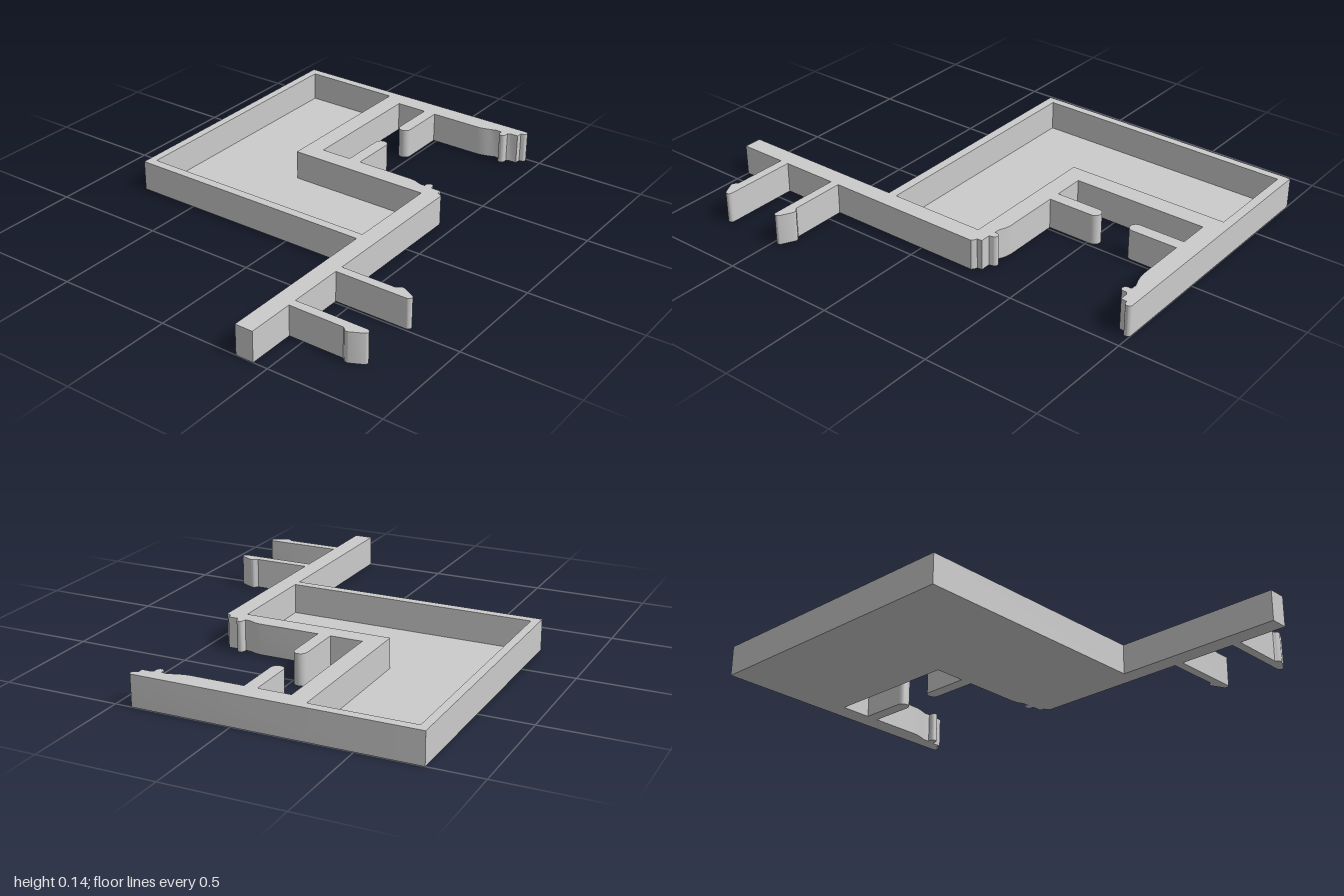
import * as THREE from 'three';
import { toCreasedNormals } from 'three/addons/utils/BufferGeometryUtils.js';

const HEIGHT = 0.135;
const FLOOR = 0.004;

// Plan outline given as [x, z] pairs
const toPoints = (pairs) => pairs.map(([x, z]) => new THREE.Vector2(x, -z));

// Points of an arc in plan, angles in degrees
function arc(cx, cz, r, from, to, steps = 10) {
  return Array.from({ length: steps + 1 }, (_, i) => {
    const a = THREE.MathUtils.degToRad(from + ((to - from) * i) / steps);
    return [cx + r * Math.cos(a), cz + r * Math.sin(a)];
  });
}

// Extrude a plan outline straight up from the ground
function plate(name, outline, height, hole) {
  const shape = new THREE.Shape(toPoints(outline));
  // A hole runs against the direction of its outline
  if (hole) shape.holes.push(new THREE.Path(toPoints(hole).reverse()));
  const geometry = new THREE.ExtrudeGeometry(shape, { depth: height, bevelEnabled: false });
  geometry.rotateX(-Math.PI / 2);
  const mesh = new THREE.Mesh(
    toCreasedNormals(geometry, 0.5),
    new THREE.MeshStandardMaterial({ color: 0xcccccc }),
  );
  mesh.name = name;
  return mesh;
}

const mirrorX = (pairs, centre) => pairs.map(([x, z]) => [2 * centre - x, z]);

export function createModel() {
  const group = new THREE.Group();
  group.name = 'bracketTray';

  // L-shaped pocket
  const pocket = [
    [-0.2, -0.736], [0.96, -0.736], [0.96, -0.295],
    [0.23, -0.295], [0.23, 0.355], [-0.2, 0.355],
  ];

  // Latch profiles at the mouth of the open bay
  const rightLatch = [
    ...arc(0.985, 0.42, 0.015, 0, 150),
    [0.968, 0.412], [0.942, 0.41], [0.942, 0.375], [0.935, 0.362],
    ...arc(0.921, 0.346, 0.016, 90, 270),
    [0.935, 0.33], [0.937, 0.305], [0.925, 0.27], [0.917, 0.24], [0.915, 0.21],
  ];
  const leftLatch = [
    [0.312, 0.25], [0.308, 0.275], [0.296, 0.305], [0.294, 0.33],
    ...arc(0.305, 0.346, 0.016, -90, 90),
    [0.292, 0.366], [0.292, 0.41], [0.27, 0.412], [0.265, 0.425], [0.257, 0.435],
  ];

  // Tray walls, side arm and latches in one rim
  const rim = [
    [-0.24, -0.772], [1, -0.772], ...rightLatch,
    [0.915, -0.211], [0.312, -0.211], ...leftLatch,
    [-1, 0.435], [-1, 0.355], [-0.24, 0.355],
  ];
  group.add(plate('rimAndArm', rim, HEIGHT, pocket));
  group.add(plate('trayFloor', pocket, FLOOR));

  // Round-ended tabs facing each other across the bay
  const tab = [[0.312, -0.07], ...arc(0.515, -0.042, 0.028, -90, 90), [0.312, -0.014]];
  group.add(plate('leftTab', tab, HEIGHT));
  group.add(plate('rightTab', mirrorX(tab, 0.6135), HEIGHT));

  // Barbed prongs under the side arm
  const prong = [
    [-0.785, 0.435], [-0.785, 0.68],
    ...arc(-0.783, 0.705, 0.018, 240, 150),
    ...arc(-0.76, 0.757, 0.015, 150, 0),
    [-0.745, 0.435],
  ];
  group.add(plate('outerProng', prong, HEIGHT));
  group.add(plate('innerProng', mirrorX(prong, -0.618), HEIGHT));

  return group;
}
